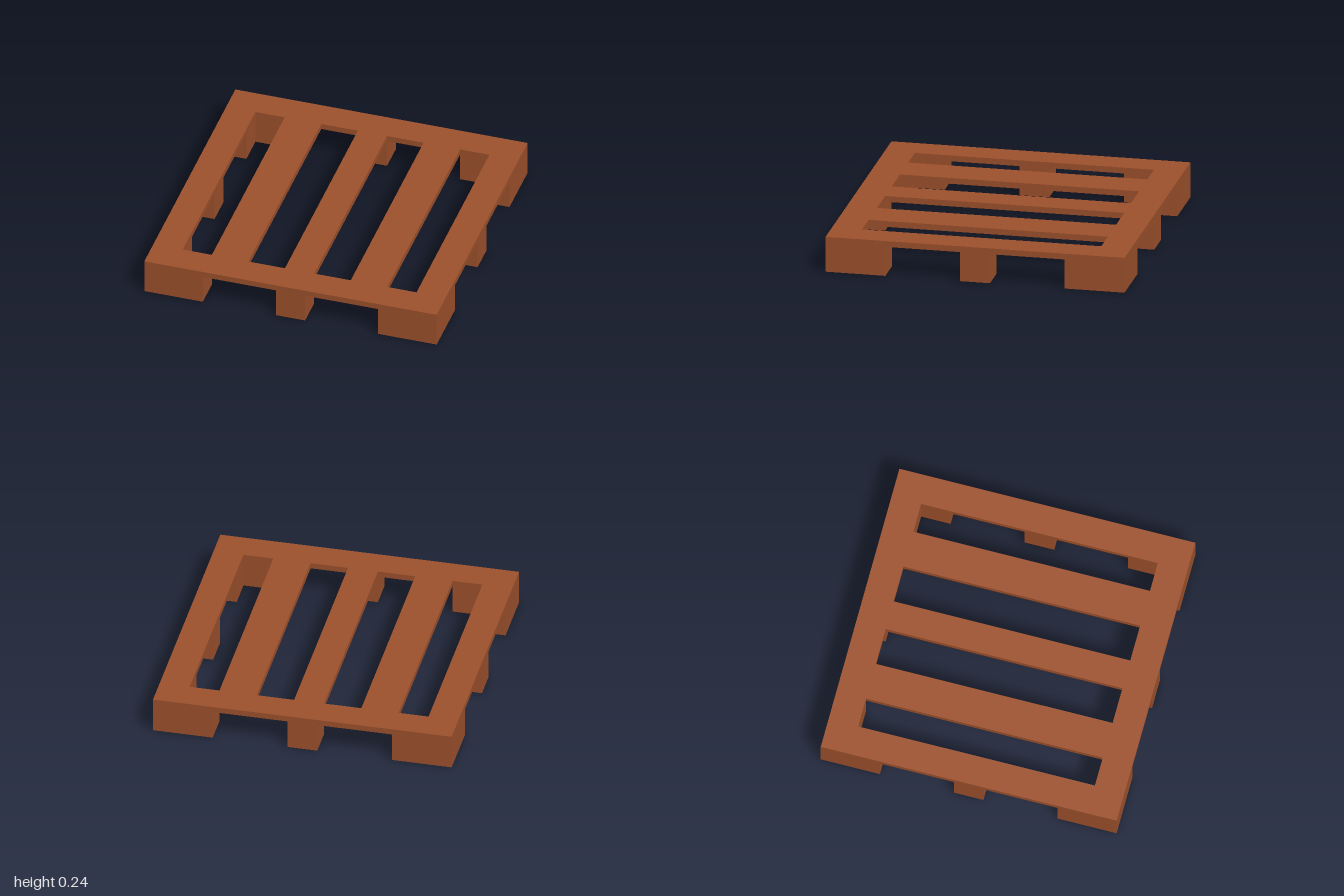
import * as THREE from 'three';

const LEG_HEIGHT = 0.2, DECK_THICKNESS = 0.04;

// Extrude a ground-plan shape upwards from height y.
function slab(shape, y, height) {
  return new THREE.ExtrudeGeometry(shape, { depth: height, bevelEnabled: false })
    .rotateX(-Math.PI / 2)
    .translate(0, y, 0);
}

function polygon(points) {
  return new THREE.Shape(points.map(([x, y]) => new THREE.Vector2(x, y)));
}

function rectangle(x0, x1, y0, y1) {
  return polygon([[x0, y0], [x1, y0], [x1, y1], [x0, y1]]);
}

export function createModel() {
  const pallet = new THREE.Group();
  pallet.name = 'pallet';
  const wood = new THREE.MeshStandardMaterial({ color: 0xa0522d });

  function add(name, geometry, angle = 0) {
    const mesh = new THREE.Mesh(geometry, wood);
    mesh.name = name;
    mesh.rotation.y = angle;
    pallet.add(mesh);
  }

  // Deck with four long slots between the boards
  const deck = rectangle(-1, 1, -1, 1);
  for (const [x0, x1] of [[-0.8, -0.6], [-0.35, -0.1], [0.1, 0.35], [0.6, 0.8]]) {
    deck.holes.push(rectangle(x0, x1, -0.8, 0.8));
  }
  add('deck', slab(deck, LEG_HEIGHT, DECK_THICKNESS));

  // L-shaped corner legs and square legs midway along each side
  const corner = slab(
    polygon([[1, 1], [0.6, 1], [0.6, 0.8], [0.8, 0.8], [0.8, 0.6], [1, 0.6]]), 0, LEG_HEIGHT);
  const middle = slab(rectangle(-0.1, 0.1, 0.8, 1), 0, LEG_HEIGHT);
  for (let i = 0; i < 4; i++) {
    add('cornerLeg', corner, i * Math.PI / 2);
    add('middleLeg', middle, i * Math.PI / 2);
  }

  return pallet;
}
